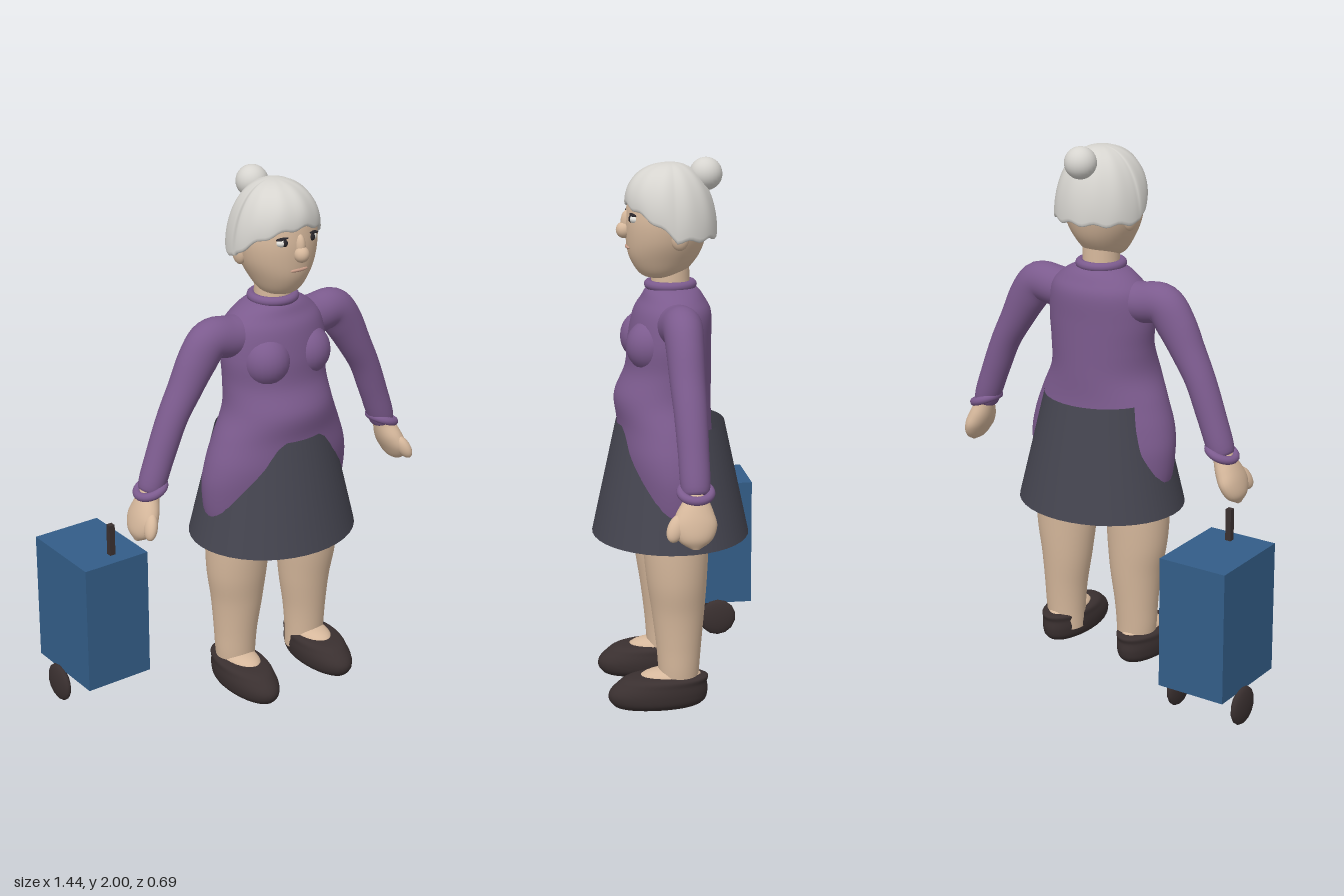
import * as THREE from 'three';
import { ParametricGeometry } from 'three/addons/geometries/ParametricGeometry.js';

const mat = (name, color, side = THREE.FrontSide) => {
  const m = new THREE.MeshStandardMaterial({ color, side });
  m.name = name;
  return m;
};

// Smooth closed skin through elliptical sections [x, y, z, radiusAcross, radiusZ]
function loft(sections, rings = 48, sides = 32) {
  const path = new THREE.CatmullRomCurve3(sections.map(s => new THREE.Vector3(s[0], s[1], s[2])), false, 'catmullrom');
  const size = new THREE.CatmullRomCurve3(sections.map(s => new THREE.Vector3(s[3], s[4], 0)), false, 'catmullrom');
  const pos = [], idx = [];
  for (let i = 0; i <= rings; i++) {
    const c = path.getPoint(i / rings), r = size.getPoint(i / rings), t = path.getTangent(i / rings);
    const len = Math.hypot(t.x, t.y) || 1;
    for (let j = 0; j < sides; j++) {
      const a = j / sides * Math.PI * 2;
      const w = Math.max(r.x, 0.001) * Math.cos(a), d = Math.max(r.y, 0.001) * Math.sin(a);
      pos.push(c.x + w * t.y / len, c.y - w * t.x / len, c.z + d);
      if (i < rings) {
        const p = i * sides + j, q = i * sides + (j + 1) % sides;
        idx.push(p, p + sides, q, q, p + sides, q + sides);
      }
    }
  }
  const g = new THREE.BufferGeometry();
  g.setAttribute('position', new THREE.Float32BufferAttribute(pos, 3));
  g.setIndex(idx);
  g.computeVertexNormals();
  return g;
}

export function createModel() {
  const model = new THREE.Group();
  const woman = new THREE.Group();
  woman.name = 'woman';
  woman.position.x = 0.09;
  const cart = new THREE.Group();
  cart.name = 'shoppingCart';
  model.add(woman, cart);

  const skin = mat('skin', 0xd6b89c);
  const wool = mat('purpleWool', 0x7c5b8e);
  const cloth = mat('skirtCloth', 0x454550, THREE.DoubleSide);
  const grey = mat('greyHair', 0xd6d4cf, THREE.DoubleSide);
  const leather = mat('darkLeather', 0x3a3030);
  const blue = mat('blueFabric', 0x335d88);
  const white = mat('eyeWhite', 0xe6e4de);
  const dark = mat('pupilDark', 0x28252a);
  const lip = mat('lip', 0xc79c88);

  const add = (parent, name, geometry, material, x = 0, y = 0, z = 0) => {
    const m = new THREE.Mesh(geometry, material);
    m.name = name;
    m.position.set(x, y, z);
    parent.add(m);
    return m;
  };
  const ball = (parent, name, material, x, y, z, rx, ry = rx, rz = rx) => {
    const m = add(parent, name, new THREE.SphereGeometry(1, 24, 16), material, x, y, z);
    m.scale.set(rx, ry, rz);
    return m;
  };

  // Sweater body, reaching down over the hips
  add(woman, 'torso', loft([
    [0, 0.64, 0.06, 0.02, 0.02], [0, 0.65, 0.06, 0.22, 0.12], [0, 0.72, 0.06, 0.285, 0.15],
    [0, 0.85, 0.065, 0.305, 0.17], [0, 0.95, 0.075, 0.293, 0.175], [0, 1.05, 0.08, 0.258, 0.17],
    [0, 1.15, 0.085, 0.215, 0.175], [0, 1.25, 0.065, 0.206, 0.155], [0, 1.35, 0.06, 0.212, 0.15],
    [0, 1.45, 0.05, 0.2, 0.14], [0, 1.5, 0.047, 0.165, 0.115], [0, 1.54, 0.05, 0.1, 0.085],
    [0, 1.555, 0.05, 0.02, 0.02],
  ], 72, 48), wool);
  const collar = add(woman, 'collar', new THREE.TorusGeometry(0.078, 0.017, 12, 36), wool, 0, 1.55, 0.055);
  collar.rotation.x = Math.PI / 2;

  // Open flared skirt
  const skirt = add(woman, 'skirt', new THREE.CylinderGeometry(0.197, 0.287, 0.42, 40, 1, true), cloth, 0, 0.84, 0.057);
  skirt.scale.x = 1.13;

  for (const s of [1, -1]) {
    const side = s > 0 ? 'left' : 'right';
    ball(woman, side + 'Bust', wool, s * 0.09, 1.345, 0.135, 0.09, 0.095, 0.092);

    // Sleeve, cuff and hand
    add(woman, side + 'Sleeve', loft([
      [s * 0.1, 1.42, 0.05, 0.08, 0.08], [s * 0.19, 1.43, 0.05, 0.076, 0.075],
      [s * 0.275, 1.435, 0.05, 0.076, 0.07], [s * 0.33, 1.37, 0.05, 0.075, 0.066],
      [s * 0.385, 1.275, 0.05, 0.063, 0.062], [s * 0.437, 1.18, 0.048, 0.055, 0.058],
      [s * 0.485, 1.06, 0.046, 0.053, 0.054], [s * 0.535, 0.925, 0.045, 0.046, 0.048],
      [s * 0.537, 0.92, 0.045, 0.01, 0.01],
    ]), wool);
    const cuff = add(woman, side + 'Cuff', new THREE.TorusGeometry(0.051, 0.016, 12, 32), wool, s * 0.535, 0.925, 0.045);
    cuff.rotation.set(Math.PI / 2, s * -0.37, 0);
    add(woman, side + 'Hand', loft([
      [s * 0.525, 0.95, 0.045, 0.03, 0.035], [s * 0.54, 0.91, 0.045, 0.036, 0.04],
      [s * 0.56, 0.86, 0.052, 0.042, 0.065], [s * 0.58, 0.815, 0.055, 0.04, 0.077],
      [s * 0.597, 0.77, 0.055, 0.03, 0.055], [s * 0.607, 0.742, 0.055, 0.005, 0.01],
    ], 30, 24), skin);
    const thumb = ball(woman, side + 'Thumb', skin, s * 0.585, 0.815, 0.118, 0.024, 0.052, 0.032);
    thumb.rotation.set(-0.5, 0, s * 0.37);

    // Leg, instep and shoe
    add(woman, side + 'Leg', loft([
      [s * 0.16, 0.06, 0.05, 0.07, 0.07], [s * 0.165, 0.15, 0.05, 0.077, 0.075],
      [s * 0.164, 0.25, 0.05, 0.084, 0.083], [s * 0.16, 0.38, 0.052, 0.1, 0.097],
      [s * 0.163, 0.5, 0.057, 0.116, 0.11], [s * 0.163, 0.63, 0.06, 0.121, 0.118],
      [s * 0.163, 0.71, 0.06, 0.115, 0.11], [s * 0.163, 0.73, 0.06, 0.01, 0.01],
    ]), skin);
    ball(woman, side + 'Instep', skin, s * 0.17, 0.122, 0.08, 0.064, 0.035, 0.115);
    add(woman, side + 'Shoe', loft([
      [s * 0.175, 0.003, 0.13, 0.01, 0.02], [s * 0.175, 0.008, 0.13, 0.05, 0.13],
      [s * 0.175, 0.03, 0.128, 0.082, 0.172], [s * 0.175, 0.065, 0.127, 0.091, 0.183],
      [s * 0.175, 0.1, 0.115, 0.089, 0.168], [s * 0.175, 0.127, 0.092, 0.079, 0.143],
      [s * 0.175, 0.133, 0.088, 0.02, 0.04],
    ], 36, 32), leather);

    // Face details and ear
    ball(woman, side + 'Eye', white, s * 0.063, 1.795, 0.187, 0.024, 0.017, 0.022);
    ball(woman, side + 'Pupil', dark, s * 0.06, 1.795, 0.203, 0.011, 0.013, 0.009);
    const lid = ball(woman, side + 'EyeLid', dark, s * 0.064, 1.811, 0.195, 0.027, 0.005, 0.014);
    lid.rotation.z = s * -0.12;
    ball(woman, side + 'Ear', skin, s * 0.137, 1.735, 0.04, 0.022, 0.045, 0.033);
  }

  // Neck, head, nose and mouth
  add(woman, 'neck', new THREE.CylinderGeometry(0.067, 0.07, 0.16, 28), skin, 0, 1.58, 0.055);
  add(woman, 'head', loft([
    [0, 1.572, 0.09, 0.02, 0.02], [0, 1.59, 0.088, 0.07, 0.075], [0, 1.65, 0.08, 0.11, 0.122],
    [0, 1.72, 0.072, 0.141, 0.143], [0, 1.8, 0.065, 0.152, 0.15], [0, 1.88, 0.06, 0.135, 0.135],
    [0, 1.94, 0.06, 0.08, 0.08], [0, 1.96, 0.06, 0.01, 0.01],
  ]), skin);
  ball(woman, 'noseBridge', skin, 0, 1.775, 0.208, 0.02, 0.045, 0.025);
  ball(woman, 'noseTip', skin, 0, 1.748, 0.22, 0.028, 0.03, 0.03);
  ball(woman, 'mouth', lip, 0, 1.688, 0.208, 0.038, 0.007, 0.009);

  // Hair cap: a dome down to a scalloped hairline, then curled in under the edge
  const hair = (u, v, target) => {
    const phi = -u * Math.PI * 2;
    const base = 1.735 + 0.115 * Math.pow(Math.max(0, Math.cos(phi)), 0.85) + 0.006 * Math.sin(11 * phi);
    const ang = Math.min(v / 0.85, 1) * Math.PI / 2;
    const curl = Math.max(0, (v - 0.85) / 0.15);
    const r = Math.pow(Math.sin(ang), 0.88) * (1 - 0.2 * curl * curl);
    const y = base + (1.985 - base) * Math.cos(ang) - 0.012 * Math.sin(curl * Math.PI);
    target.set(0.172 * r * Math.sin(phi), y, 0.053 + 0.165 * r * Math.cos(phi));
  };
  add(woman, 'hair', new ParametricGeometry(hair, 72, 32), grey);
  ball(woman, 'hairBun', grey, 0, 1.942, -0.073, 0.059);

  // Two-wheeled shopping cart
  add(cart, 'cartBag', new THREE.BoxGeometry(0.267, 0.495, 0.345), blue, -0.567, 0.3975, -0.173);
  add(cart, 'cartHandle', new THREE.BoxGeometry(0.022, 0.14, 0.022), leather, -0.549, 0.695, -0.065);
  for (const x of [-0.703, -0.433]) {
    const wheel = add(cart, 'cartWheel', new THREE.SphereGeometry(0.073, 14, 10), leather, x, 0.09, -0.21);
    wheel.rotation.z = Math.PI / 2;
    wheel.scale.y = 0.3;
  }
  return model;
}
